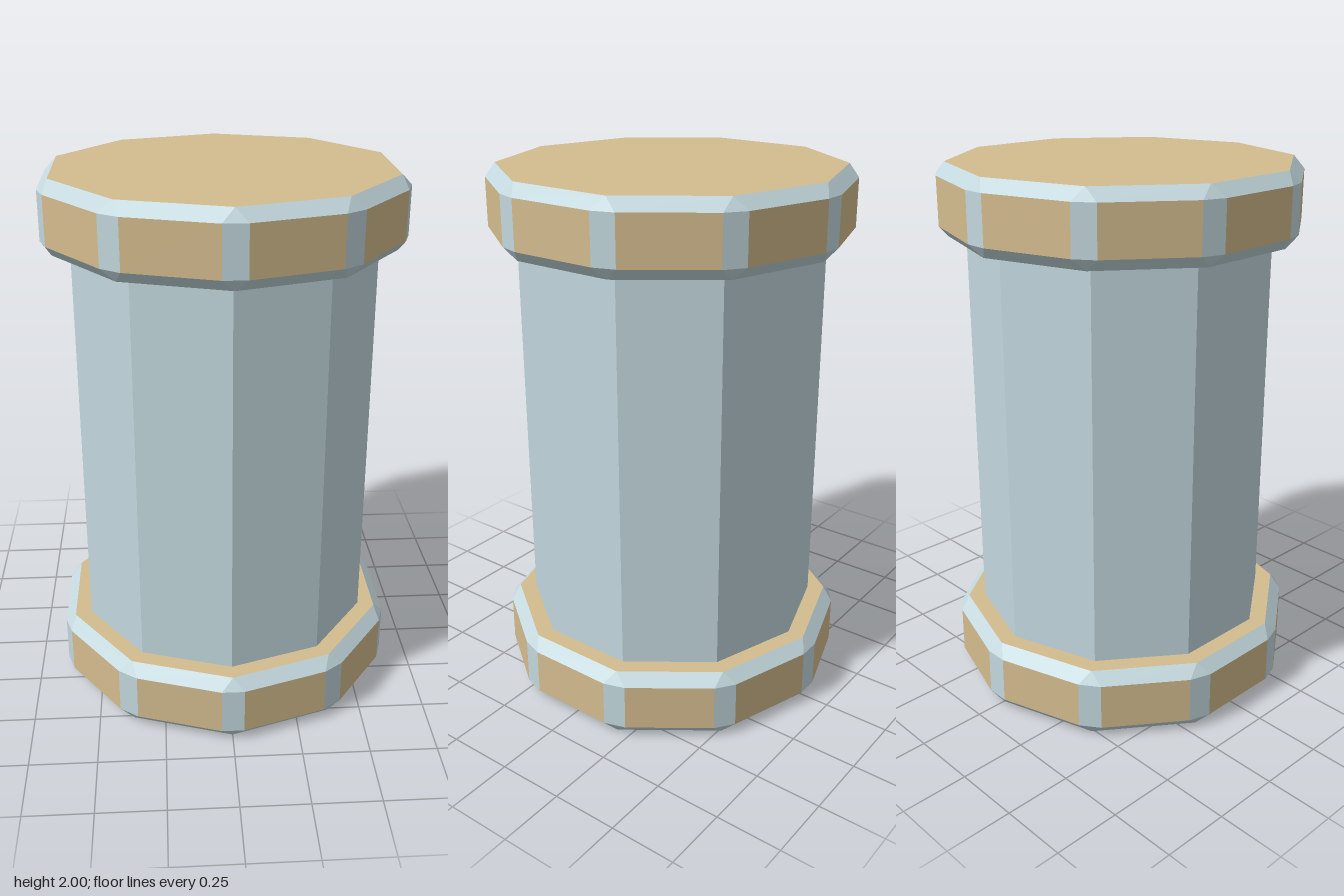
import * as THREE from 'three';

const SIDES = 10;
const STEP = (Math.PI * 2) / SIDES;

const tan = new THREE.MeshStandardMaterial({ color: 0xd4bc8e });
tan.name = 'tan';
const paleBlue = new THREE.MeshStandardMaterial({ color: 0xc3d8de });
paleBlue.name = 'pale blue';

// Point at an angle measured from the front (+z) towards +x
const polar = (radius, angle, y) => [radius * Math.sin(angle), y, radius * Math.cos(angle)];

// Flat-shaded mesh from convex polygons listed counter-clockwise
function polygonMesh(name, polygons, material) {
  const positions = [];
  for (const p of polygons) {
    for (let i = 1; i < p.length - 1; i++) positions.push(...p[0], ...p[i], ...p[i + 1]);
  }
  const geometry = new THREE.BufferGeometry();
  geometry.setAttribute('position', new THREE.Float32BufferAttribute(positions, 3));
  geometry.computeVertexNormals();
  const mesh = new THREE.Mesh(geometry, material);
  mesh.name = name;
  return mesh;
}

// Ten-sided slab with every edge and corner chamfered
function makeSlab(name, y0, y1) {
  const faceRadius = 0.63, sideRadius = 0.661, cornerHalf = 0.0636, bevel = 0.043;
  const low = y0 + bevel, high = y1 - bevel;
  const panels = [], trim = [], top = [], bottom = [];

  for (let i = 0; i < SIDES; i++) {
    const a = i * STEP, b = a + STEP;
    const topA = polar(faceRadius, a, y1), topB = polar(faceRadius, b, y1);
    const botA = polar(faceRadius, a, y0), botB = polar(faceRadius, b, y0);
    const side = (angle, y) => polar(sideRadius, angle, y);
    const l = a + cornerHalf, r = b - cornerHalf, k = a - cornerHalf;
    top.push(topA);
    bottom.unshift(botA);

    // Side panel
    panels.push([side(l, low), side(r, low), side(r, high), side(l, high)]);
    // Upper and lower bevels
    trim.push([side(l, high), side(r, high), topB, topA]);
    trim.push([botA, botB, side(r, low), side(l, low)]);
    // Corner strip and its end triangles
    trim.push([side(k, low), side(l, low), side(l, high), side(k, high)]);
    trim.push([side(k, high), side(l, high), topA]);
    trim.push([side(k, low), botA, side(l, low)]);
  }

  const slab = new THREE.Group();
  slab.name = name;
  slab.add(
    polygonMesh('slabFaces', [...panels, top, bottom], tan),
    polygonMesh('slabBevels', trim, paleBlue)
  );
  return slab;
}

export function createModel() {
  const model = new THREE.Group();
  model.name = 'pillar';

  model.add(makeSlab('baseSlab', 0, 0.263), makeSlab('topSlab', 1.737, 2));

  // Faceted shaft between the slabs
  const shaftGeometry = new THREE.CylinderGeometry(0.565, 0.565, 1.48, SIDES, 1, true).toNonIndexed();
  shaftGeometry.computeVertexNormals();
  const shaft = new THREE.Mesh(shaftGeometry, paleBlue);
  shaft.name = 'shaft';
  shaft.position.y = 1;
  model.add(shaft);

  return model;
}
